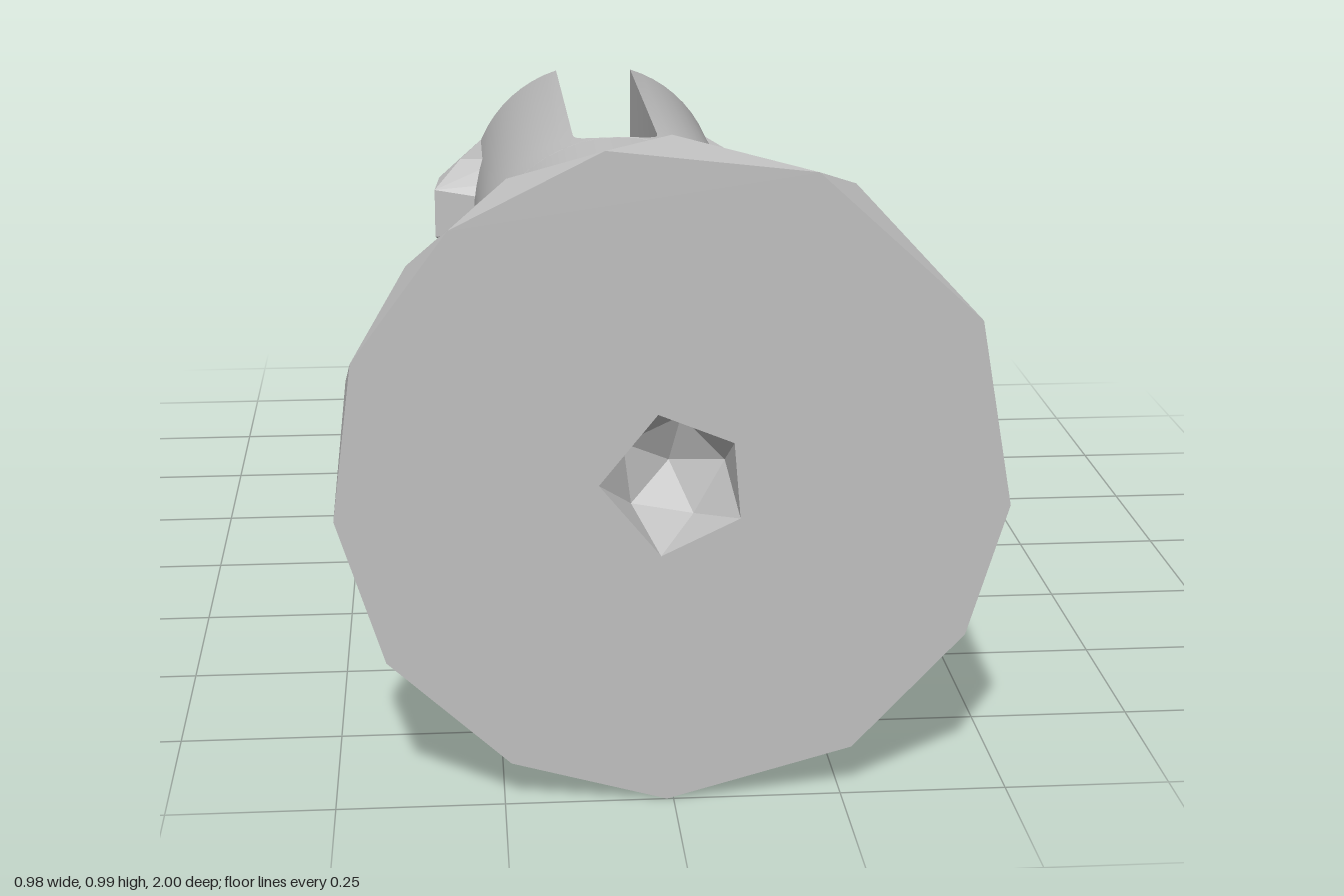
import * as THREE from 'three';
import { toCreasedNormals } from 'three/addons/utils/BufferGeometryUtils.js';
import { ConvexGeometry } from 'three/addons/geometries/ConvexGeometry.js';

const grey = new THREE.MeshStandardMaterial({ color: 0xbfbfbf });
grey.name = 'grey plastic';

// Ring of [x, y] points placed at depth z.
const at = (points, z) => points.map(([x, y]) => new THREE.Vector3(x, y, z));

// Regular polygon, counter-clockwise from the given angle.
const polygon = (n, r, start = 0) => Array.from({ length: n }, (_, i) => {
  const a = start + (i / n) * Math.PI * 2;
  return [r * Math.cos(a), r * Math.sin(a)];
});

// Skin rings running from front to back; optionally close the last one.
function loft(rings, cap = true) {
  const pos = [];
  const tri = (a, b, c) => {
    const area = b.clone().sub(a).cross(c.clone().sub(a)).length();
    if (area > 1e-9) for (const p of [a, b, c]) pos.push(p.x, p.y, p.z);
  };
  const n = rings[0].length;
  for (let k = 0; k + 1 < rings.length; k++) {
    const a = rings[k], b = rings[k + 1];
    for (let i = 0; i < n; i++) {
      const j = (i + 1) % n;
      tri(a[i], b[i], a[j]);
      tri(b[i], b[j], a[j]);
    }
  }
  if (cap) {
    const e = rings[rings.length - 1];
    for (let i = 1; i + 1 < n; i++) tri(e[0], e[i + 1], e[i]);
  }
  const geo = new THREE.BufferGeometry();
  geo.setAttribute('position', new THREE.Float32BufferAttribute(pos, 3));
  geo.computeVertexNormals();
  return geo;
}

// Half-round prong section: the part of a disc beyond x = w.
function segment(w, r, z) {
  const a = Math.acos(w / r), n = 24;
  return at(Array.from({ length: n + 1 }, (_, i) => {
    const t = -a + (2 * a * i) / n;
    return [r * Math.cos(t), r * Math.sin(t)];
  }), z);
}

export function createModel() {
  const model = new THREE.Group();
  model.name = 'pushPin';
  const body = new THREE.Group();
  body.name = 'body';
  body.position.y = 0.5;
  model.add(body);
  const add = (parent, name, geo) => {
    const mesh = new THREE.Mesh(geo, grey);
    mesh.name = name;
    parent.add(mesh);
  };

  // Faceted head: uneven twelve-sided rim with staggered corners
  const front = [[0.49, -0.045], [0.44, 0.235], [0.2, 0.455], [-0.1, 0.49], [-0.32, 0.38], [-0.46, 0.19],
    [-0.49, -0.045], [-0.42, -0.265], [-0.24, -0.43], [-0.01, -0.495], [0.265, -0.42], [0.43, -0.245]];
  const back = [[0.46, 0.19], [0.265, 0.42], [0, 0.495], [-0.235, 0.435], [-0.38, 0.31], [-0.47, 0.14],
    [-0.485, -0.1], [-0.385, -0.315], [-0.18, -0.465], [0.105, -0.485], [0.35, -0.34], [0.48, -0.14]];
  add(body, 'headRim', loft([at(front, 1), at(back, 0.92)]));

  // Front face with a five-sided dimple
  const hole = [[0.095, -0.055], [0.085, 0.06], [-0.025, 0.105], [-0.11, 0], [-0.02, -0.11]];
  const toShape = (pts) => pts.map(([x, y]) => new THREE.Vector2(x, y));
  const face = new THREE.Shape(toShape(front));
  face.holes.push(new THREE.Path(toShape(hole)));
  add(body, 'headFace', new THREE.ShapeGeometry(face).translate(0, 0, 1));
  const floor = at(polygon(5, 0), 0.89);
  const middle = at(polygon(5, 0.08, -Math.PI * 0.36), 0.925);
  add(body, 'dimple', loft([floor, middle, at(hole, 1)], false));

  // Smaller step behind the head
  add(body, 'collar', loft([
    at(polygon(10, 0.42, 0.1), 0.92),
    at(polygon(10, 0.365, 0.1 + Math.PI / 10), 0.84),
  ]));

  // Round shaft up to the slot
  const circle = polygon(48, 0.264);
  add(body, 'shaft', toCreasedNormals(loft([at(circle, 0.84), at(circle, -0.18)], false), 0.5));

  // Prong sections: round slot end, straight run, chamfered tip
  const sections = [];
  for (let i = 0; i <= 8; i++) {
    const a = (i / 8) * Math.PI / 2;
    sections.push(segment(0.08 * Math.sin(a), 0.264, -0.26 + 0.08 * Math.cos(a)));
  }
  sections.push(segment(0.08, 0.264, -0.955), segment(0.12, 0.25, -1));
  const prong = toCreasedNormals(loft(sections), 0.5);

  // Wedge-shaped catch on the outside of each prong
  const catchPoints = [];
  for (const s of [-1, 1]) {
    for (const [x, y, z] of [
      [0.2, 0.1, -0.97], [0.245, 0.1, -0.96], [0.25, 0.03, -1],
      [0.335, 0.06, -0.775], [0.345, 0.05, -0.7], [0.29, 0.1, -0.77],
      [0.2, 0.1, -0.76], [0.2, 0.06, -0.71], [0.2, 0.025, -0.695],
    ]) catchPoints.push(new THREE.Vector3(x, s * y, z));
  }
  const barb = new ConvexGeometry(catchPoints);

  for (const [side, angle] of [['left', 0], ['right', Math.PI]]) {
    const half = new THREE.Group();
    half.name = side + 'Prong';
    half.rotation.z = angle;
    add(half, 'prong', prong);
    add(half, 'catch', barb);
    body.add(half);
  }
  return model;
}
